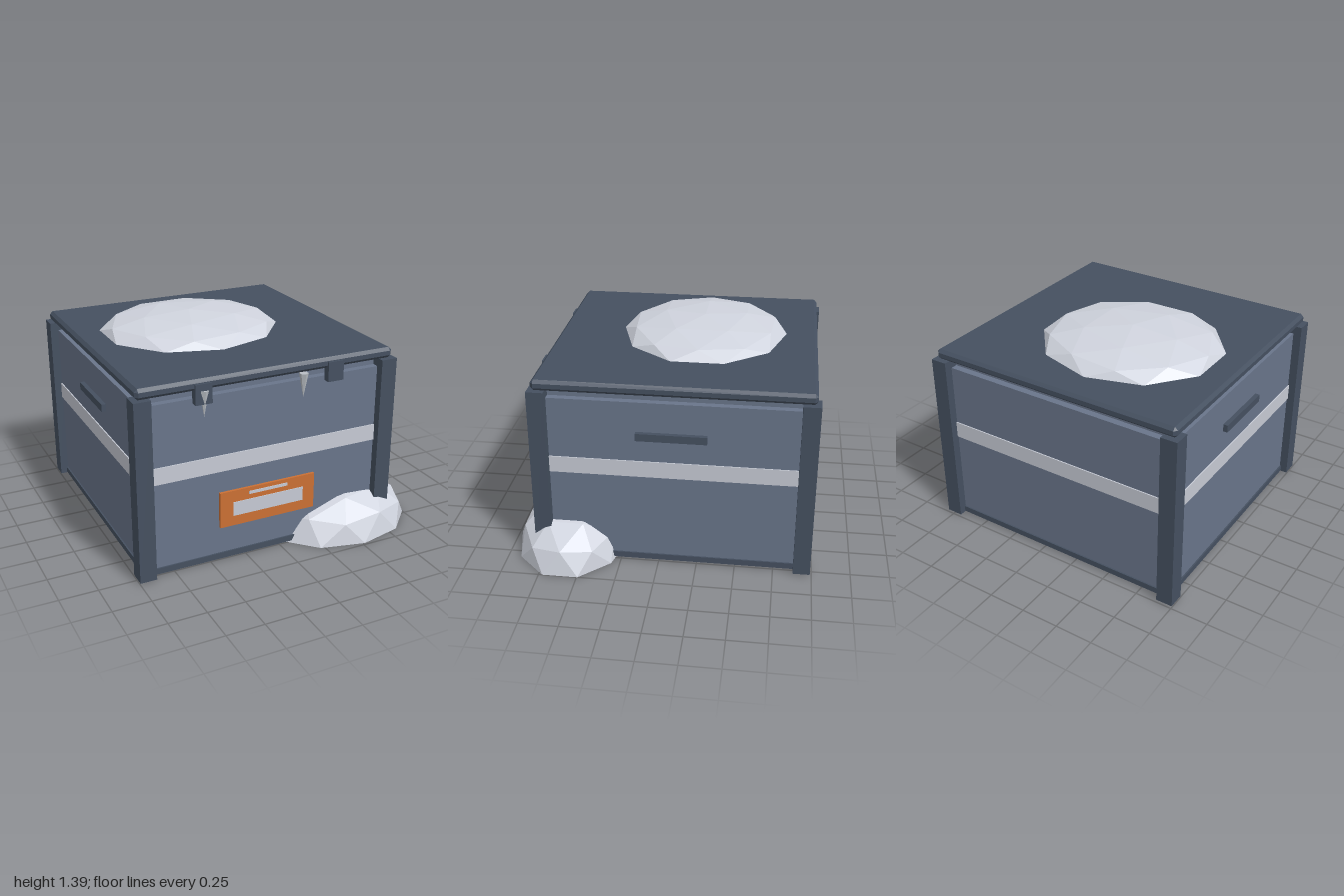
import * as THREE from 'three';
import { ConvexGeometry } from 'three/addons/geometries/ConvexGeometry.js';

const mat = (name, color) => {
  const m = new THREE.MeshStandardMaterial({ color });
  m.name = name;
  return m;
};

export function createModel() {
  const panel = mat('slate panel', 0x69758a);
  const dark = mat('dark frame', 0x455060);
  const pale = mat('pale trim', 0xc6cad4);
  const orange = mat('orange plate', 0xcb7034);
  const snow = mat('snow', 0xd0d4de);
  const ice = mat('ice', 0xb9bec4);

  const model = new THREE.Group();
  model.name = 'snowyCrate';
  const crate = new THREE.Group();
  crate.name = 'crate';
  crate.position.set(-0.1, 0, -0.09);
  model.add(crate);

  const add = (parent, name, geometry, material, x = 0, y = 0, z = 0) => {
    const mesh = new THREE.Mesh(geometry, material);
    mesh.name = name;
    mesh.position.set(x, y, z);
    parent.add(mesh);
    return mesh;
  };
  // Box given by width, depth and its bottom and top heights
  const slab = (name, material, w, d, y0, y1, x = 0, z = 0) =>
    add(crate, name, new THREE.BoxGeometry(w, y1 - y0, d), material, x, (y0 + y1) / 2, z);

  // Body, base and recessed neck under the lid
  slab('base', dark, 1.71, 1.71, 0.02, 0.06);
  slab('body', panel, 1.69, 1.69, 0.06, 1.15);
  slab('neck', panel, 1.6, 1.6, 1.15, 1.21);
  slab('stripe', pale, 1.705, 1.705, 0.635, 0.745);

  // Corner posts and side handles
  for (const sx of [-1, 1]) {
    for (const sz of [-1, 1]) slab('cornerPost', dark, 0.11, 0.11, 0.015, 1.205, sx * 0.845, sz * 0.845);
    slab('sideHandle', dark, 0.04, 0.45, 0.9, 0.95, sx * 0.855, 0.005);
  }

  // Lid with every edge chamfered
  const half = [0.878, 0.035, 0.878], bevel = 0.02, corners = [];
  for (const sx of [-1, 1]) for (const sy of [-1, 1]) for (const sz of [-1, 1])
    for (let axis = 0; axis < 3; axis++) {
      const p = half.map((h, i) => (i === axis ? h : h - bevel));
      corners.push(new THREE.Vector3(sx * p[0], sy * p[1], sz * p[2]));
    }
  add(crate, 'lid', new ConvexGeometry(corners), dark, 0, 1.24, 0);

  // Front latches and icicles
  for (const x of [-0.455, 0.45]) slab('latch', dark, 0.11, 0.05, 1.12, 1.25, x, 0.867);
  for (const [x, length] of [[-0.45, 0.17], [0.225, 0.16]]) {
    const cone = new THREE.ConeGeometry(0.03, length, 6).toNonIndexed();
    cone.computeVertexNormals();
    add(crate, 'icicle', cone, ice, x, 1.205 - length / 2, 0.878).rotation.x = Math.PI;
  }

  // Front label plate with its inlays
  slab('labelPlate', orange, 0.675, 0.02, 0.245, 0.49, -0.002, 0.853);
  slab('labelField', pale, 0.5, 0.006, 0.315, 0.41, 0, 0.865);
  slab('labelBar', pale, 0.275, 0.006, 0.445, 0.465, -0.002, 0.865);

  // Faceted snow mound: upper half of a subdivided icosahedron, pole up
  const mound = (name, rx, ry, rz, x, y, z, lean = 0) => {
    const rings = [
      [1, 0, 1, 0],
      [5, 0.526, 0.851, 36],
      [5, 0.851, 0.526, 0],
      [5, 0.894, 0.447, 36],
      [10, 1, 0, 18],
    ];
    const points = [];
    for (const [count, r, h, phase] of rings)
      for (let i = 0; i < count; i++) {
        const a = THREE.MathUtils.degToRad(phase + (i * 360) / count);
        points.push(new THREE.Vector3(rx * r * Math.cos(a) + lean * h, ry * h, rz * r * Math.sin(a)));
      }
    add(model, name, new ConvexGeometry(points), snow, x, y, z);
  };
  mound('lidSnow', 0.615, 0.122, 0.56, -0.215, 1.273, -0.2);
  mound('cornerSnowDrift', 0.505, 0.305, 0.375, 0.52, 0.005, 0.61, 0.04);

  return model;
}
